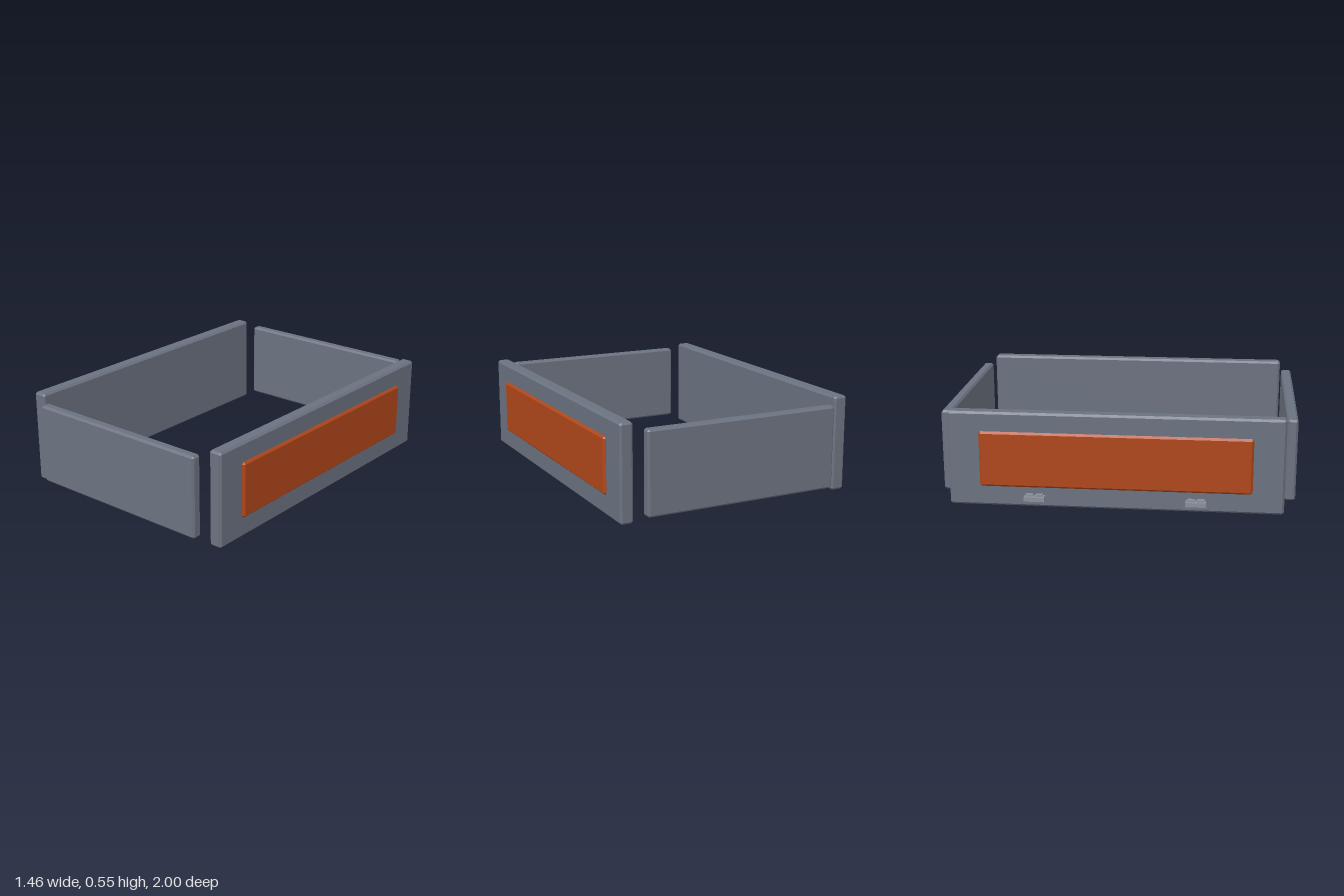
import * as THREE from 'three';
import { ConvexGeometry } from 'three/addons/geometries/ConvexGeometry.js';

const slate = new THREE.MeshStandardMaterial({ color: 0x6b7280 });
const rust = new THREE.MeshStandardMaterial({ color: 0xb0471a });
const steel = new THREE.MeshStandardMaterial({ color: 0x8a919c });

// Box between two corners with every edge cut at 45 degrees
function chamferBox(name, material, min, max, c) {
  const size = max.map((v, i) => v - min[i]);
  const points = [];
  for (const sx of [-1, 1]) for (const sy of [-1, 1]) for (const sz of [-1, 1]) {
    for (let axis = 0; axis < 3; axis++) {
      const p = [sx, sy, sz].map((s, i) => s * (size[i] / 2 - (i === axis ? 0 : c)));
      points.push(new THREE.Vector3(...p));
    }
  }
  const mesh = new THREE.Mesh(new ConvexGeometry(points), material);
  mesh.position.set(...min.map((v, i) => v + size[i] / 2));
  mesh.name = name;
  return mesh;
}

function plainBox(name, material, min, max) {
  const size = max.map((v, i) => v - min[i]);
  const mesh = new THREE.Mesh(new THREE.BoxGeometry(...size), material);
  mesh.position.set(...min.map((v, i) => v + size[i] / 2));
  mesh.name = name;
  return mesh;
}

export function createModel() {
  const model = new THREE.Group();
  model.name = 'panelFrame';

  // Long side panels
  model.add(chamferBox('rightPanel', slate, [-0.685, 0, -0.935], [-0.605, 0.545, 0.935], 0.012));
  model.add(chamferBox('leftPanel', slate, [0.635, 0, -0.935], [0.712, 0.545, 0.935], 0.012));

  // Short end panels
  model.add(chamferBox('frontPanel', slate, [-0.56, 0.04, 0.94], [0.585, 0.51, 1], 0.011));
  model.add(chamferBox('backPanel', slate, [-0.56, 0.04, -1], [0.585, 0.51, -0.94], 0.011));

  // Coloured plates set into the outer faces of the side panels
  model.add(chamferBox('rightPlate', rust, [-0.698, 0.115, -0.76], [-0.66, 0.435, 0.76], 0.012));
  model.add(chamferBox('leftPlate', rust, [0.685, 0.115, -0.76], [0.726, 0.435, 0.76], 0.012));

  // Small brackets low on the right panel, each with a split raised rib
  for (const z of [-0.45, 0.45]) {
    const bracket = new THREE.Group();
    bracket.name = z > 0 ? 'frontBracket' : 'backBracket';
    bracket.add(plainBox('bracketBase', steel, [-0.73, 0.045, -0.057], [-0.68, 0.07, 0.057]));
    for (const s of [-1, 1]) {
      bracket.add(plainBox('bracketRib', steel,
        [-0.714, 0.068, s * 0.027 - 0.02], [-0.69, 0.081, s * 0.027 + 0.02]));
    }
    bracket.position.z = z;
    model.add(bracket);
  }
  return model;
}
